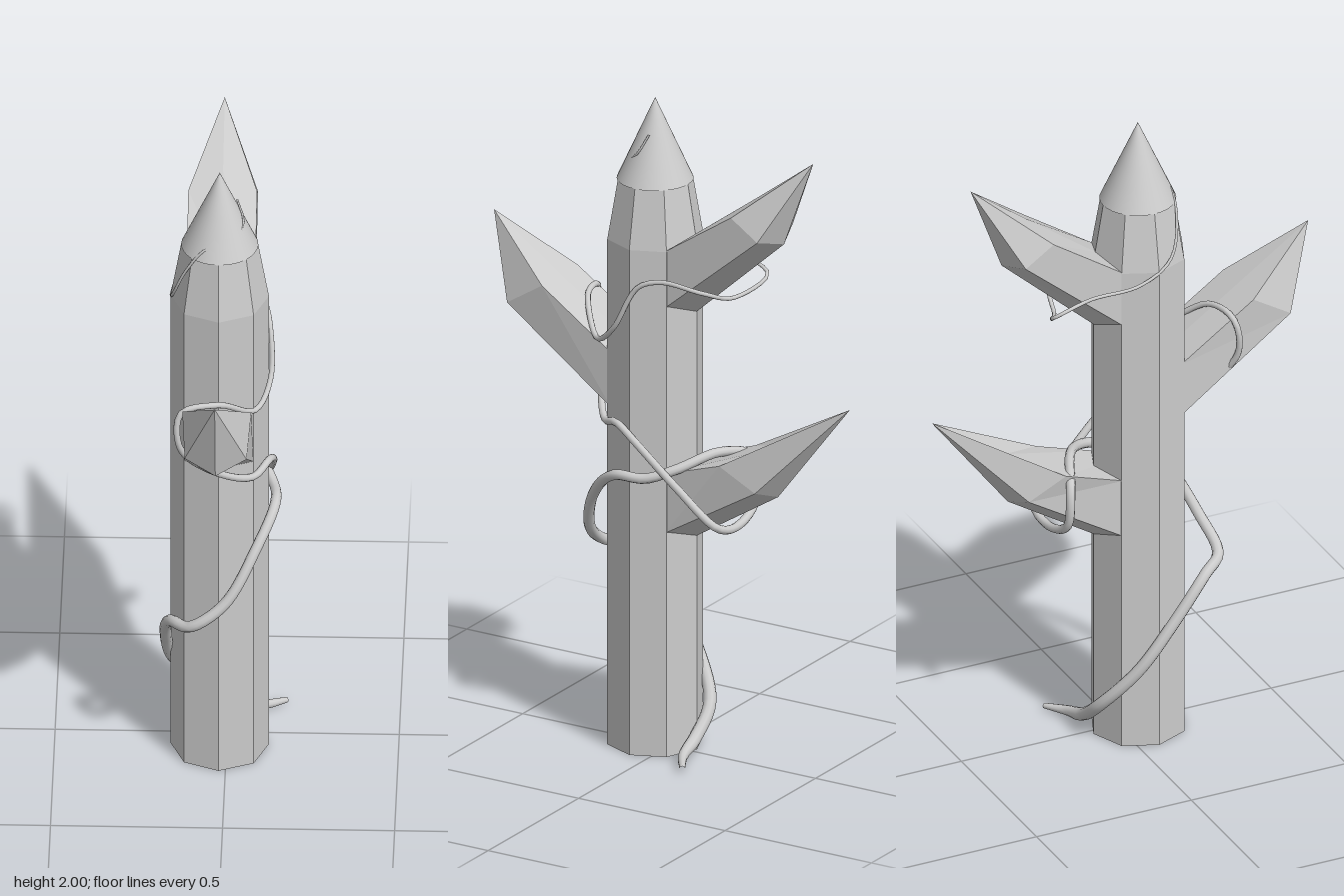
import * as THREE from 'three';

const CX = -0.02, CZ = 0.06; // trunk axis
const flat = new THREE.MeshStandardMaterial({ color: 0xcccccc, flatShading: true });
const smooth = new THREE.MeshStandardMaterial({ color: 0xcccccc });

function add(group, name, geometry, material) {
  const mesh = new THREE.Mesh(geometry, material);
  mesh.name = name;
  group.add(mesh);
  return mesh;
}

// Six-sided stub sharpened to a point; profile points are [z, y].
// Rings run: top ridge, upper side, lower side, bottom ridge, then mirrored.
function branchGeometry({ dir, base, end, tip, lowerWidth = 0.09 }) {
  const ring = (p, w) => [
    [0, p[0]], [-0.1, p[1]], [-w, p[2]], [0, p[3]], [w, p[2]], [0.1, p[1]],
  ].map(([x, [z, y]]) => [CX + x, y, z]);
  const a = ring(base, 0.1), b = ring(end, lowerWidth), t = [CX, tip[1], tip[0]];
  const pos = [];
  const tri = (p, q, r) => pos.push(...(dir > 0 ? [p, q, r] : [p, r, q]).flat());
  for (let i = 0; i < 6; i++) {
    const j = (i + 1) % 6;
    tri(a[i], a[j], b[j]);
    tri(a[i], b[j], b[i]);
    tri(b[i], b[j], t);
  }
  const g = new THREE.BufferGeometry();
  g.setAttribute('position', new THREE.Float32BufferAttribute(pos, 3));
  g.computeVertexNormals();
  return g;
}

// Tube that thins out along its length
function taperedTube(points, r0, r1) {
  const curve = new THREE.CatmullRomCurve3(points.map(p => new THREE.Vector3(...p)));
  const n = 220, sides = 10;
  const g = new THREE.TubeGeometry(curve, n, 1, sides, false);
  const pos = g.attributes.position, v = new THREE.Vector3();
  for (let i = 0; i <= n; i++) {
    const c = curve.getPointAt(i / n);
    const r = THREE.MathUtils.lerp(r0, r1, i / n) * Math.min(1, 0.4 + i / 10);
    for (let j = 0; j <= sides; j++) {
      const k = i * (sides + 1) + j;
      v.fromBufferAttribute(pos, k).sub(c).multiplyScalar(r).add(c);
      pos.setXYZ(k, v.x, v.y, v.z);
    }
  }
  return g;
}

export function createModel() {
  const model = new THREE.Group();
  model.name = 'stakeWithVine';

  // Octagonal trunk with a narrowing shoulder
  const profile = [[0, 0], [0.143, 0], [0.143, 1.57], [0.112, 1.75], [0, 1.75]];
  const trunk = add(model, 'trunk',
    new THREE.LatheGeometry(profile.map(p => new THREE.Vector2(...p)), 8), flat);
  trunk.position.set(CX, 0, CZ);

  // Smooth pointed cap
  const cap = add(model, 'pointedCap', new THREE.ConeGeometry(0.112, 0.25, 32, 4, true), smooth);
  cap.position.set(CX, 1.875, CZ);

  // Sharpened branches
  const branches = {
    frontBranch: {
      dir: 1, tip: [0.61, 1.54],
      base: [[0.2, 1.26], [0.15, 1.22], [0.15, 1.05], [0.19, 1.05]],
      end: [[0.42, 1.41], [0.385, 1.38], [0.51, 1.3], [0.54, 1.26]],
    },
    upperBackBranch: {
      dir: -1, tip: [-0.48, 1.9], lowerWidth: 0.1,
      base: [[-0.075, 1.6], [-0.035, 1.57], [-0.035, 1.395], [-0.075, 1.355]],
      end: [[-0.3, 1.765], [-0.26, 1.72], [-0.35, 1.66], [-0.38, 1.63]],
    },
    lowerBackBranch: {
      dir: -1, tip: [-0.605, 1.16], lowerWidth: 0.08,
      base: [[-0.075, 0.89], [-0.035, 0.88], [-0.035, 0.695], [-0.075, 0.66]],
      end: [[-0.37, 1.0], [-0.22, 0.94], [-0.33, 0.87], [-0.36, 0.84]],
    },
  };
  for (const [name, spec] of Object.entries(branches)) add(model, name, branchGeometry(spec), flat);

  // Vine climbing from the ground around trunk and branches to the cap
  const vine = [
    [0.17, 0.015, -0.15], [0.1, 0.025, -0.11], [0.02, 0.05, -0.1], [-0.08, 0.13, -0.09],
    [-0.155, 0.26, 0], [-0.175, 0.4, 0.1], [-0.16, 0.53, 0.21],
    [-0.1, 0.555, 0.28], [0, 0.63, 0.27], [0.09, 0.78, 0.2], [0.142, 0.87, 0.1], [0.135, 0.875, 0],
    // round the lower back branch
    [0.09, 0.905, -0.08], [-0.02, 0.94, -0.16], [-0.13, 0.9, -0.21], [-0.13, 0.78, -0.22],
    [-0.02, 0.73, -0.23], [0.09, 0.75, -0.22], [0.12, 0.86, -0.1], [0.135, 0.98, 0.03],
    // round the front branch
    [0.125, 1.025, 0.1], [0.08, 1.01, 0.17], [-0.04, 1.09, 0.26], [-0.13, 1.22, 0.33],
    [-0.125, 1.33, 0.32], [-0.02, 1.34, 0.29], [0.09, 1.26, 0.19], [0.13, 1.32, 0.11],
    // under the upper back branch
    [0.125, 1.46, 0.03], [0.11, 1.485, -0.04], [0.09, 1.47, -0.17], [-0.02, 1.43, -0.21],
    [-0.125, 1.48, -0.26], [-0.14, 1.52, -0.15], [-0.16, 1.54, 0],
    // over the shoulder and onto the cap
    [-0.155, 1.6, 0.1], [-0.115, 1.71, 0.14], [-0.06, 1.785, 0.145], [0.02, 1.81, 0.13],
    [0.05, 1.84, 0.08], [0.03, 1.9, 0.05],
  ];
  add(model, 'vine', taperedTube(vine, 0.02, 0.003), smooth);

  return model;
}
